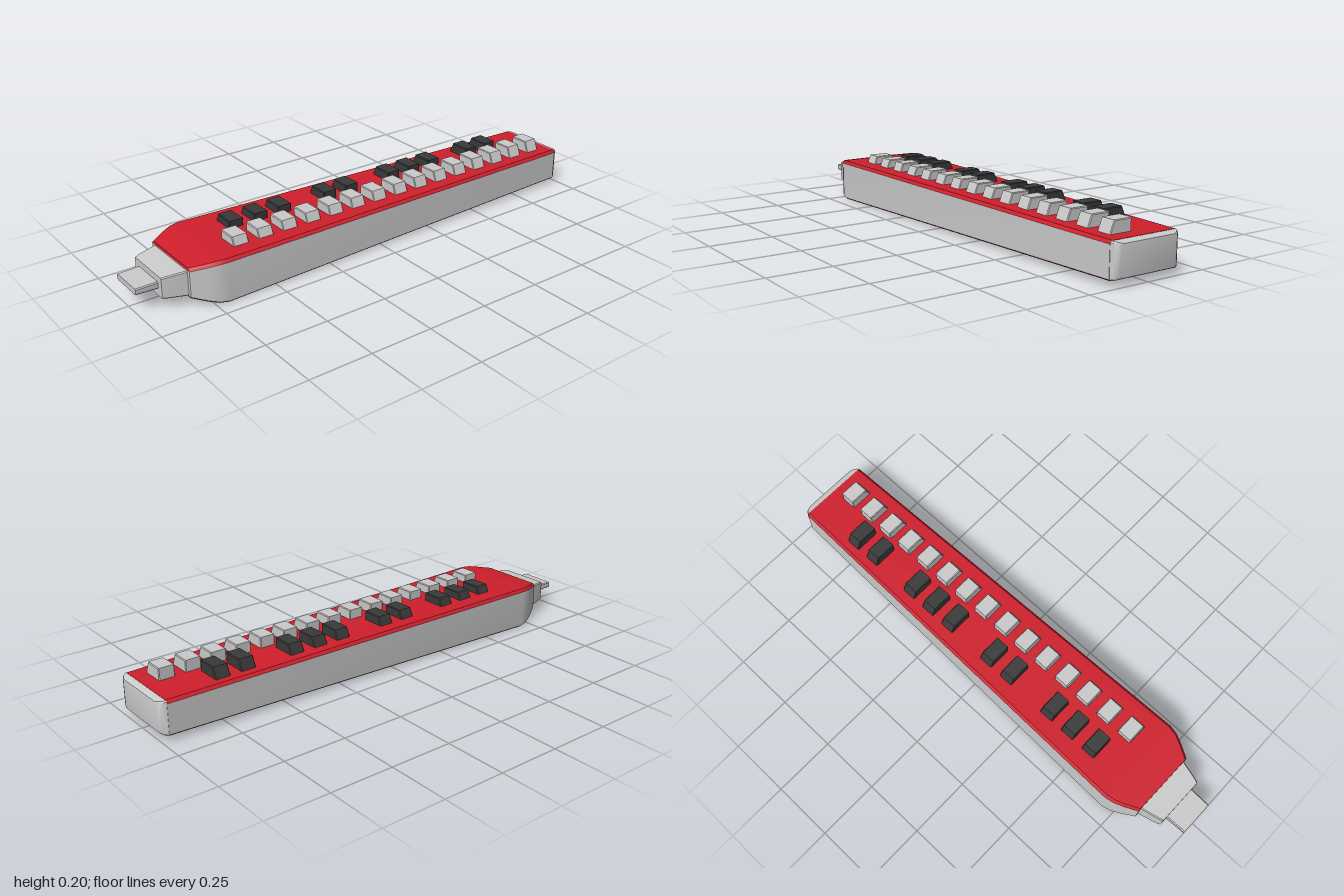
import * as THREE from 'three';
import { toCreasedNormals } from 'three/addons/utils/BufferGeometryUtils.js';

const material = (color) => new THREE.MeshStandardMaterial({ color });
const grey = material(0xcccccc);
const red = material(0xd01f2c);
const dark = material(0x3a3a3a);

// Closed loft along +x: each section is { x, ring: [[z, y], ...] }, ring running over the top from +z to -z
function loft(sections) {
  const n = sections[0].ring.length;
  const pos = [];
  const index = [];
  for (const { x, ring } of sections) for (const [z, y] of ring) pos.push(x, y, z);
  for (let i = 0; i < sections.length - 1; i++) {
    for (let j = 0; j < n; j++) {
      const a = i * n + j, b = i * n + (j + 1) % n;
      index.push(a, a + n, b + n, a, b + n, b);
    }
  }
  const last = (sections.length - 1) * n;
  for (let j = 1; j < n - 1; j++) {
    index.push(0, j, j + 1, last, last + j + 1, last + j);
  }
  const geo = new THREE.BufferGeometry();
  geo.setAttribute('position', new THREE.Float32BufferAttribute(pos, 3));
  geo.setIndex(index);
  return toCreasedNormals(geo, 0.6);
}

// Rectangle ring with optional cut corners
function rect(h, y0, y1, c = 0) {
  if (!c) return [[h, y1], [-h, y1], [-h, y0], [h, y0]];
  return [[h, y1 - c], [h - c, y1], [c - h, y1], [-h, y1 - c],
    [-h, y0 + c], [c - h, y0], [h - c, y0], [h, y0 + c]];
}

// Key with one sloping end: profile in (z, y), extruded along x
function keyGeometry(profile, width) {
  const b = 0.003;
  const shape = new THREE.Shape(profile.map(([z, y]) => new THREE.Vector2(-z, y)));
  const geo = new THREE.ExtrudeGeometry(shape, {
    depth: width - 2 * b, bevelEnabled: true, bevelThickness: b, bevelSize: b, bevelOffset: -b, bevelSegments: 1,
  });
  geo.translate(0, 0, b - width / 2);
  geo.rotateY(Math.PI / 2);
  return geo;
}

export function createModel() {
  const model = new THREE.Group();
  const add = (name, geo, mat, parent = model) => {
    const mesh = new THREE.Mesh(geo, mat);
    mesh.name = name;
    parent.add(mesh);
    return mesh;
  };

  // Body stations: x, half depth, bottom, top
  const stations = [
    [-0.825, 0.139, 0.035, 0.152], [-0.77, 0.168, 0.015, 0.162], [-0.735, 0.183, 0.005, 0.168],
    [-0.7, 0.19, 0.001, 0.17], [0.975, 0.149, 0.022, 0.155],
  ];
  const body = (ringOf) => loft(stations.map(([x, h, y0, y1]) => ({ x, ring: ringOf(h, y0, y1) })));
  const lip = 0.011, edge = 0.005;
  add('sideWalls', body((h, y0, y1) => rect(h, y0 + edge, y1 - lip)), grey);
  add('topPanel', body((h, y0, y1) =>
    [[h, y1 - lip], [h - 0.01, y1], [0.01 - h, y1], [-h, y1 - lip]]), red);
  add('bottomPanel', body((h, y0) =>
    [[h, y0 + edge], [-h, y0 + edge], [edge - h, y0], [h - edge, y0]]), red);

  // Rounded cap at the narrow end
  add('endCap', loft([
    { x: 0.974, ring: rect(0.148, 0.022, 0.154, 0.004) },
    { x: 0.988, ring: rect(0.14, 0.025, 0.152, 0.005) },
    { x: 0.996, ring: rect(0.129, 0.029, 0.149, 0.006) },
    { x: 1, ring: rect(0.117, 0.033, 0.146, 0.006) },
  ]), grey);

  // Neck and flat mouthpiece at the wide end
  add('neck', loft([
    { x: -0.915, ring: rect(0.1, 0.047, 0.128, 0.004) },
    { x: -0.9, ring: rect(0.106, 0.045, 0.131, 0.004) },
    { x: -0.815, ring: rect(0.127, 0.039, 0.139, 0.004) },
  ]), grey);
  add('mouthpiece', loft([
    { x: -1, ring: rect(0.072, 0.077, 0.101, 0.004) },
    { x: -0.9, ring: rect(0.074, 0.075, 0.103, 0.004) },
  ]), grey);

  // Keyboard
  const firstX = -0.6, pitch = 0.1063, count = 15;
  const whiteKeys = new THREE.Group();
  whiteKeys.name = 'whiteKeys';
  const whiteGeo = keyGeometry([[0, 0.14], [0.1, 0.14], [0.076, 0.202], [0, 0.202]], 0.063);
  for (let i = 0; i < count; i++) {
    // the row follows the tapering front edge
    add('whiteKey', whiteGeo, grey, whiteKeys)
      .position.set(firstX + i * pitch, 0, 0.028 - 0.024 * i / (count - 1));
  }
  const blackKeys = new THREE.Group();
  blackKeys.name = 'blackKeys';
  const blackGeo = keyGeometry([[-0.015, 0.14], [-0.015, 0.199], [-0.098, 0.199], [-0.124, 0.14]], 0.06);
  for (const i of [0, 1, 2, 4, 5, 7, 8, 9, 11, 12]) {
    add('blackKey', blackGeo, dark, blackKeys).position.x = firstX + 0.006 + (i + 0.5) * pitch;
  }
  model.add(whiteKeys, blackKeys);
  return model;
}
